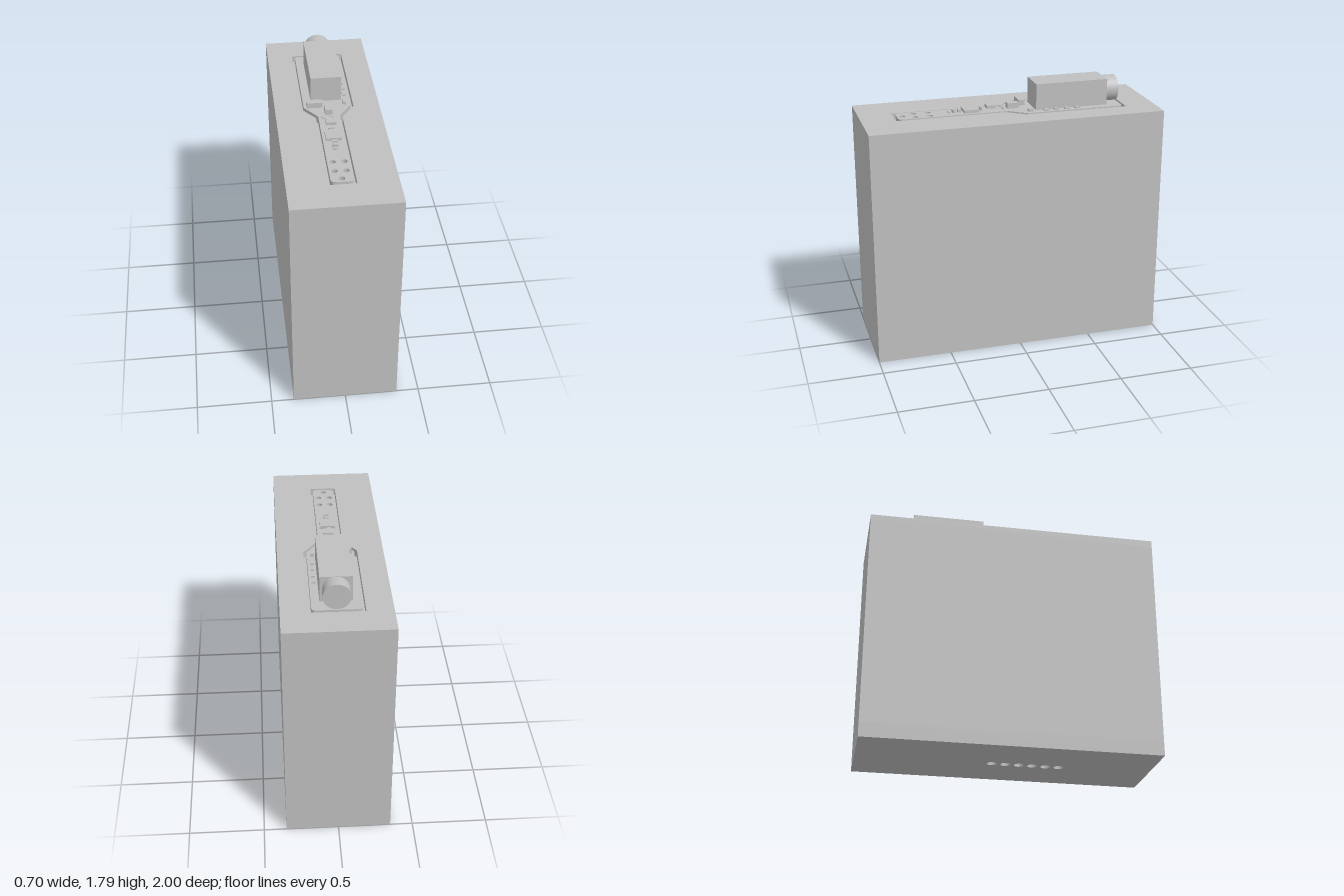
import * as THREE from 'three';

const TOP = 1.615;
const POCKET = 0.05;
const BASE = 0.1;

// Mirrors a right-hand outline of [x, z, cornerRadius] and rounds its corners.
function outline(half) {
  const pts = [...half, ...half.map(([x, z, r]) => [-x, z, r]).reverse()];
  const n = pts.length;
  const shape = new THREE.Shape();
  pts.forEach(([x, z, r = 0], i) => {
    const p = new THREE.Vector2(x, z);
    const toward = ([a, b]) => new THREE.Vector2(a, b).sub(p).setLength(r).add(p);
    const a = r ? toward(pts[(i + n - 1) % n]) : p;
    if (i === 0) shape.moveTo(a.x, a.y);
    else shape.lineTo(a.x, a.y);
    if (r) {
      const b = toward(pts[(i + 1) % n]);
      shape.quadraticCurveTo(p.x, p.y, b.x, b.y);
    }
  });
  shape.closePath();
  return shape;
}

const circle = (x, z, r) => new THREE.Path().absarc(x, z, r, 0, Math.PI * 2, true);

// Extrudes a plan-view (x, z) shape downwards from the height top.
function slab(shape, top, depth) {
  return new THREE.ExtrudeGeometry(shape, { depth, bevelEnabled: false, curveSegments: 16 })
    .rotateX(Math.PI / 2)
    .translate(0, top, 0);
}

export function createModel() {
  const group = new THREE.Group();
  const grey = new THREE.MeshStandardMaterial({ color: 0xbfbfbf });
  grey.name = 'plain grey';

  const add = (name, geometry) => {
    const mesh = new THREE.Mesh(geometry, grey);
    mesh.name = name;
    group.add(mesh);
  };
  const block = (name, x0, x1, z0, z1, top, bottom = TOP) =>
    add(name, new THREE.BoxGeometry(x1 - x0, top - bottom, z1 - z0)
      .translate((x0 + x1) / 2, (top + bottom) / 2, (z0 + z1) / 2));

  // Block body: pocketed top layer, solid core, drilled base layer
  const rectangle = () => outline([[0.35, -1], [0.35, 1]]);
  const topLayer = rectangle();
  topLayer.holes.push(outline([[0.177, -0.793], [0.177, -0.09], [0.088, 0.03], [0.088, 0.777]]));
  add('bodyTop', slab(topLayer, TOP, POCKET));
  block('bodyCore', -0.35, 0.35, -1, 1, TOP - POCKET, BASE);
  const baseLayer = rectangle();
  for (let i = 0; i < 6; i++) baseLayer.holes.push(circle(0.015, 0.37 - i * 0.091, 0.033));
  add('bodyBase', slab(baseLayer, BASE, BASE));

  // Circuit board set in the pocket, with contact holes
  const board = outline([
    [0.157, -0.775, 0.03], [0.157, -0.1], [0.072, 0.015], [0.072, 0.755, 0.035],
  ]);
  for (const [x, z] of [[-0.037, 0.54], [0.037, 0.54], [-0.037, 0.64], [0.037, 0.64], [0, 0.72]]) {
    board.holes.push(circle(x, z, 0.02));
  }
  add('circuitBoard', slab(board, TOP + 0.002, POCKET + 0.002));

  // Large housing with the round end piece
  block('housing', -0.103, 0.103, -0.68, -0.176, 1.795);
  add('roundEnd', new THREE.CylinderGeometry(0.088, 0.088, 0.09, 48)
    .rotateX(Math.PI / 2)
    .translate(0, 1.706, -0.724));

  // Row of small components beside the housing
  for (let i = 0; i < 4; i++) {
    const z = -0.459 + i * 0.074;
    block('sideComponent', 0.117, 0.14, z - 0.016, z + 0.016, 1.628);
  }

  // Larger components
  block('cornerComponent', 0.108, 0.13, -0.15, -0.114, 1.637);
  block('connector', -0.138, -0.032, -0.135, -0.091, 1.655);
  block('regulator', -0.024, 0.024, -0.076, 0.002, 1.655);
  block('raisedChip', -0.034, 0.034, 0.084, 0.148, 1.652, 1.632);
  block('mainChip', -0.052, 0.052, 0.204, 0.308, 1.637);

  // Small components along the handle
  block('smallComponent', -0.053, -0.034, 0.016, 0.048, 1.627);
  block('smallComponent', -0.005, 0.027, 0.02, 0.037, 1.627);
  block('smallComponent', -0.021, 0.012, 0.172, 0.188, 1.637);
  block('smallComponent', -0.017, 0.02, 0.323, 0.343, 1.637);
  block('smallComponent', -0.017, 0.02, 0.36, 0.38, 1.637);
  block('smallComponent', -0.017, 0.017, 0.395, 0.411, 1.627);

  return group;
}
